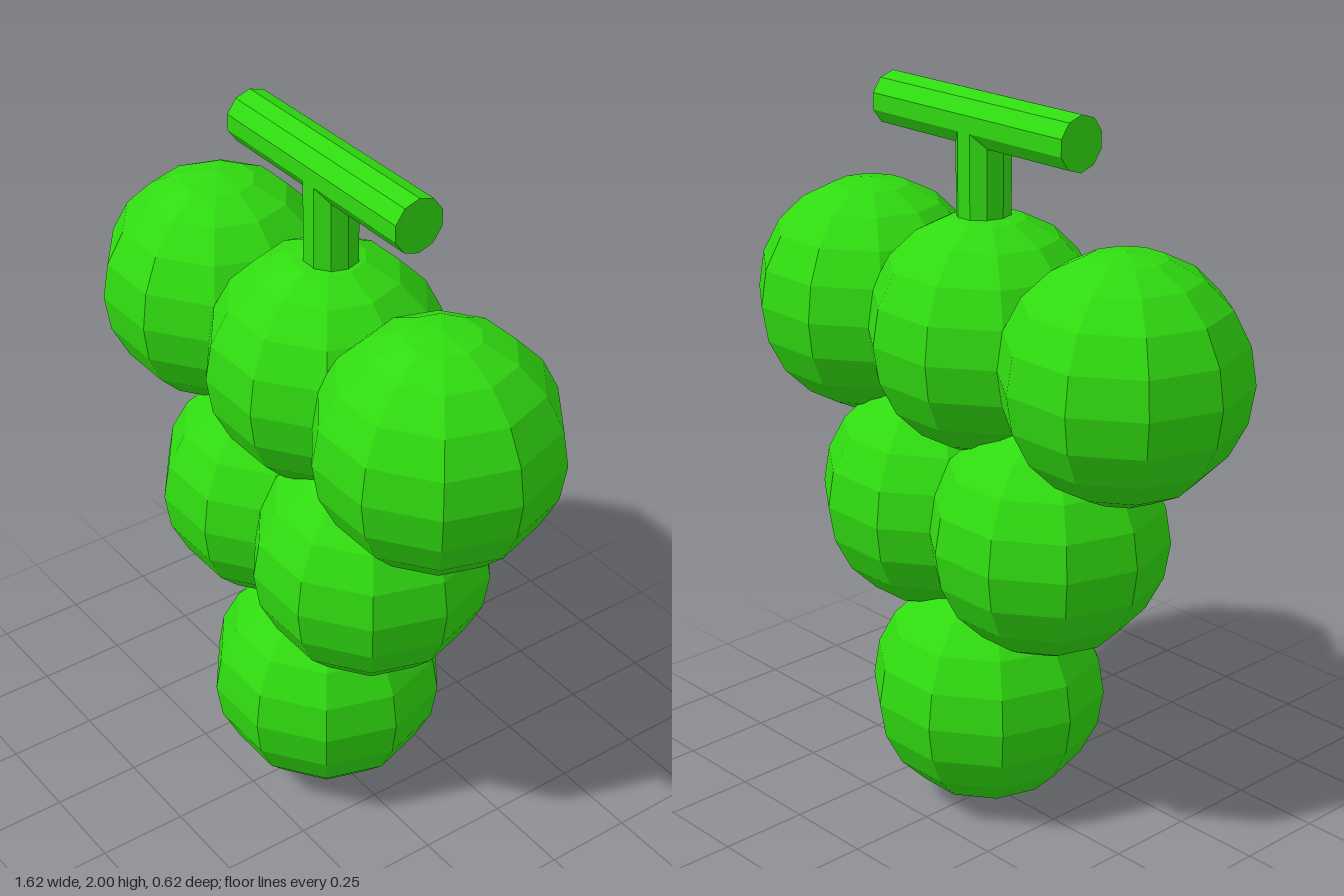
import * as THREE from 'three';

export function createModel() {
  const group = new THREE.Group();
  const green = new THREE.MeshStandardMaterial({ color: 0x30db10, flatShading: true });
  green.name = 'grape green';

  const add = (name, geometry, x, y) => {
    const mesh = new THREE.Mesh(geometry, green);
    mesh.name = name;
    mesh.position.set(x, y, 0);
    group.add(mesh);
  };

  // Rows of faceted grapes, from top to bottom
  const grape = new THREE.SphereGeometry(0.327, 10, 10);
  const rows = [
    { name: 'topGrape', y: 1.363, xs: [-0.484, 0.017, 0.484] },
    { name: 'middleGrape', y: 0.854, xs: [-0.217, 0.218] },
    { name: 'bottomGrape', y: 0.328, xs: [0.017] },
  ];
  for (const { name, y, xs } of rows) {
    xs.forEach((x, i) => add(name + (i + 1), grape, x, y));
  }

  // Ten-sided T-shaped stem
  const rod = (length) =>
    new THREE.CylinderGeometry(0.0735, 0.0735, length, 10).rotateY(Math.PI / 2);
  add('stem', rod(0.42), 0.032, 1.71);
  add('stemCrossbar', rod(0.705).rotateZ(Math.PI / 2), 0.032, 1.9265);

  return group;
}
